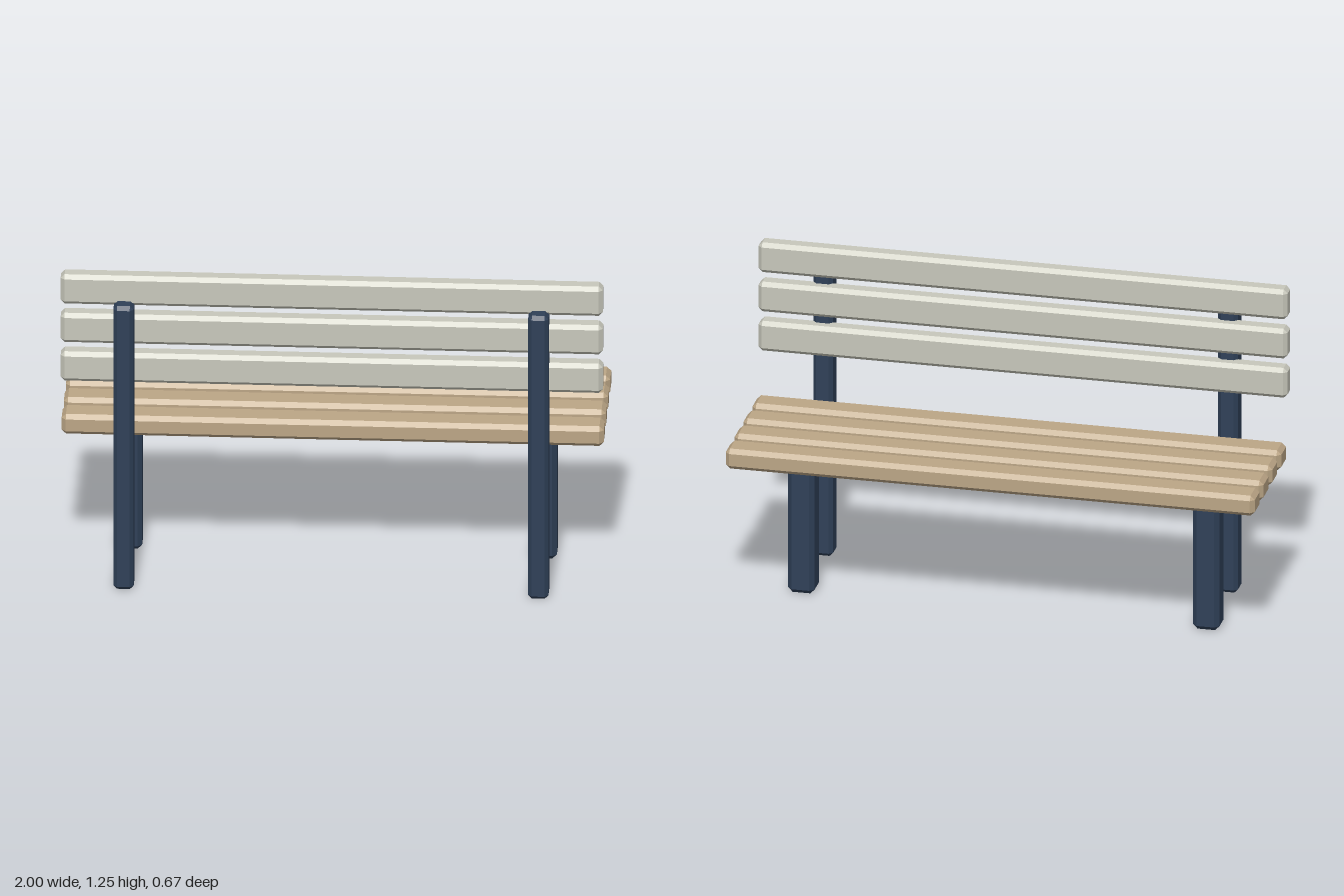
import * as THREE from 'three';
import { ConvexGeometry } from 'three/addons/geometries/ConvexGeometry.js';

// Box with every edge chamfered: three points cut each corner
function chamferBox(w, h, d, c) {
  const points = [];
  for (const sx of [-1, 1]) for (const sy of [-1, 1]) for (const sz of [-1, 1]) {
    const x = w / 2, y = h / 2, z = d / 2;
    points.push(
      new THREE.Vector3(sx * x, sy * (y - c), sz * (z - c)),
      new THREE.Vector3(sx * (x - c), sy * y, sz * (z - c)),
      new THREE.Vector3(sx * (x - c), sy * (y - c), sz * z)
    );
  }
  return new ConvexGeometry(points);
}

export function createModel() {
  const bench = new THREE.Group();
  bench.name = 'bench';

  const material = (color) => new THREE.MeshStandardMaterial({ color, flatShading: true });
  const wood = material(0xbca686);
  const paleWood = material(0xc8c8bc);
  const metal = material(0x2f4058);

  const add = (name, geometry, mat, x, y, z) => {
    const mesh = new THREE.Mesh(geometry, mat);
    mesh.name = name;
    mesh.position.set(x, y, z);
    bench.add(mesh);
  };

  // Seat: four evenly spaced planks
  const seatGeometry = chamferBox(2, 0.08, 0.108, 0.016);
  for (let i = 0; i < 4; i++) add(`seatSlat${i + 1}`, seatGeometry, wood, 0, 0.609, 0.158 - i * 0.1453);

  // Backrest: three upright planks
  const backGeometry = chamferBox(2, 0.119, 0.072, 0.015);
  for (let i = 0; i < 3; i++) add(`backSlat${i + 1}`, backGeometry, paleWood, 0, 0.877 + i * 0.157, 0.243);

  // Tall back posts and short seat legs, mirrored left and right
  const postGeometry = chamferBox(0.075, 1.153, 0.085, 0.014);
  const legGeometry = chamferBox(0.1, 0.605, 0.102, 0.017);
  for (const [side, s] of [['left', 1], ['right', -1]]) {
    add(`${side}BackPost`, postGeometry, metal, s * 0.765, 0.5765, 0.2925);
    add(`${side}SeatLeg`, legGeometry, metal, s * 0.765, 0.3025, -0.06);
  }

  return bench;
}
